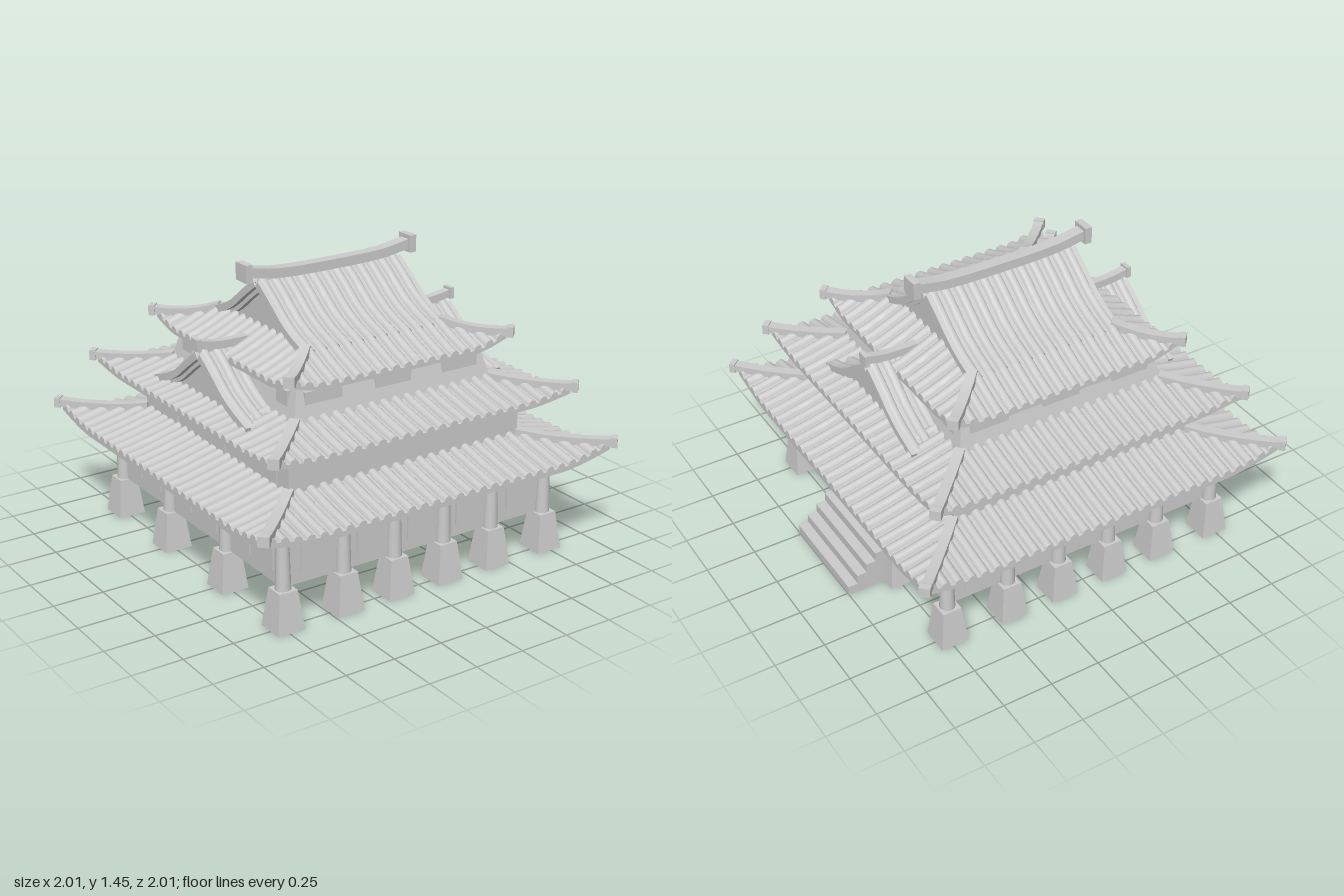
import * as THREE from 'three';
import { toCreasedNormals } from 'three/addons/utils/BufferGeometryUtils.js';

const solid = new THREE.MeshStandardMaterial({ color: 0xcccccc });
const thin = new THREE.MeshStandardMaterial({ color: 0xcccccc, side: THREE.DoubleSide });
const PITCH = 0.0667, TILE = 0.022;

function add(parent, name, geometry, material = solid, x = 0, y = 0, z = 0) {
  const mesh = new THREE.Mesh(geometry, material);
  mesh.name = name;
  mesh.position.set(x, y, z);
  parent.add(mesh);
  return mesh;
}

// box given by its minimum and maximum corners
function box(parent, name, a, b) {
  const g = new THREE.BoxGeometry(b[0] - a[0], b[1] - a[1], b[2] - a[2]);
  return add(parent, name, g, solid, (a[0] + b[0]) / 2, (a[1] + b[1]) / 2, (a[2] + b[2]) / 2);
}

// square tapered block
function block(bottom, top, height) {
  const g = new THREE.BoxGeometry(2, height, 2), p = g.attributes.position;
  for (let i = 0; i < p.count; i++) {
    const r = p.getY(i) > 0 ? top : bottom;
    p.setXYZ(i, p.getX(i) * r, p.getY(i) + height / 2, p.getZ(i) * r);
  }
  g.computeVertexNormals();
  return g;
}

function indexed(pos, index, crease) {
  const g = new THREE.BufferGeometry();
  g.setAttribute('position', new THREE.Float32BufferAttribute(pos, 3));
  g.setIndex(index);
  return toCreasedNormals(g, crease);
}

// surface over a list of columns; fn(column, row) returns [x, y, z]
function grid(cols, rows, fn) {
  const pos = [], index = [];
  cols.forEach((c, i) => {
    for (let j = 0; j <= rows; j++) {
      pos.push(...fn(c, j));
      if (i && j) {
        const k = i * (rows + 1) + j, l = k - rows - 1;
        index.push(l - 1, k - 1, k, l - 1, k, l);
      }
    }
  });
  return indexed(pos, index, 0.75);
}

// columns across a row of round tiles: position s and height h
function tileColumns(half) {
  const n = Math.round(2 * half / PITCH), w = 2 * half / n, cols = [];
  for (let i = 0; i < n; i++) {
    for (const t of [0, 0.15, 0.22, 0.33, 0.5, 0.67, 0.78, 0.85]) {
      const q = (t - 0.5) / 0.35;
      cols.push({ s: -half + (i + t) * w, h: TILE * Math.sqrt(Math.max(0, 1 - q * q)) });
    }
  }
  cols.push({ s: half, h: 0 });
  return cols;
}

// rectangular beam swept along points, standing on the path
function beam(points, width, height, n = 12) {
  const curve = new THREE.CatmullRomCurve3(points.map(p => new THREE.Vector3(...p)));
  const pos = [], index = [];
  for (let i = 0; i <= n; i++) {
    const p = curve.getPoint(i / n), t = curve.getTangent(i / n);
    const side = new THREE.Vector3(-t.z, 0, t.x).normalize();
    const up = new THREE.Vector3().crossVectors(side, t).normalize();
    for (const [a, b] of [[-0.5, 0], [0.5, 0], [0.5, 1], [-0.5, 1]]) {
      const v = p.clone().addScaledVector(side, a * width).addScaledVector(up, b * height);
      pos.push(v.x, v.y, v.z);
    }
    for (let k = 0; i && k < 4; k++) {
      const a = i * 4 - 4 + k, b = i * 4 - 4 + (k + 1) % 4;
      index.push(a, b + 4, b, a, a + 4, b + 4);
    }
  }
  const e = n * 4;
  index.push(0, 1, 2, 0, 2, 3, e, e + 2, e + 1, e, e + 3, e + 2);
  return indexed(pos, index, 0.6);
}

// four-sided tiled skirt roof with upturned corners
function hipRoof(parent, name, { eave, inner, low, high, soffit, lift }) {
  const roof = new THREE.Group();
  roof.name = name;
  parent.add(roof);
  const rise = s => lift * Math.pow(Math.max(0, (Math.abs(s) / eave - 0.7) / 0.3), 1.5);
  const height = d => low + (high - low) * Math.pow(Math.max(0, (eave - d) / (eave - inner)), 1.15);
  const rows = 6, cols = tileColumns(eave);
  const depth = (s, v) => THREE.MathUtils.lerp(eave, Math.max(inner, Math.abs(s)), v);
  const tiles = grid(cols, rows + 1, ({ s, h }, j) => {
    if (j === 0) return [s, soffit + rise(s), eave];
    const d = depth(s, (j - 1) / rows);
    return [s, height(d) + rise(s) + h, d];
  });
  const under = grid(cols, 2, ({ s }, j) => [s, soffit + rise(s), depth(s, 1 - j / 2)]);
  const path = [0, 0.25, 0.5, 0.75, 1].map(v => {
    const d = THREE.MathUtils.lerp(inner, eave, v);
    return [d, height(d) + rise(d) - 0.008 + 0.01 * v, d];
  });
  const tip = eave + 0.014;
  path.push([tip, height(eave) + lift + 0.006, tip]);
  const ridge = beam(path, 0.048, 0.036);
  for (let k = 0; k < 4; k++) {
    const side = new THREE.Group();
    side.name = 'roofSide';
    side.rotation.y = k * Math.PI / 2;
    roof.add(side);
    add(side, 'roofTiles', tiles, thin);
    add(side, 'soffit', under, thin);
    add(side, 'cornerRidge', ridge);
    add(side, 'ridgeTip', new THREE.BoxGeometry(0.052, 0.05, 0.03), solid,
      tip, height(eave) + lift + 0.02, tip).rotation.y = Math.PI / 4;
  }
}

// gabled roof running along x; profile lists [z, y] from ridge to eave
function gableRoof(parent, name, half, profile, inset, ends) {
  const roof = new THREE.Group();
  roof.name = name;
  parent.add(roof);
  const curve = new THREE.SplineCurve(profile.map(p => new THREE.Vector2(...p)));
  const slope = grid(tileColumns(half), 12, ({ s, h }, j) => {
    const p = curve.getPoint(1 - j / 12);
    return [s, p.y + h, p.x];
  });
  for (const turn of [0, Math.PI]) add(roof, 'roofSlope', slope, thin).rotation.y = turn;
  const right = curve.getPoints(12), base = profile[profile.length - 1][1] - 0.03;
  const wall = new THREE.Shape([...right.slice().reverse(), ...right.slice(1).map(p => new THREE.Vector2(-p.x, p.y)),
    new THREE.Vector2(-right[12].x, base), new THREE.Vector2(right[12].x, base)]);
  for (const e of ends) {
    const g = new THREE.ShapeGeometry(wall).rotateY(Math.PI / 2);
    add(roof, 'gableWall', g, thin, e * (half - inset));
    for (const m of [1, -1]) {
      const line = (x, drop) => right.map(p => [x, p.y - drop, m * p.x]);
      add(roof, 'bargeboard', beam(line(e * (half - 0.008), 0.022), 0.026, 0.035));
      add(roof, 'innerBargeboard', beam(line(e * (half - inset + 0.01), 0.045), 0.03, 0.03));
    }
  }
  return roof;
}

// raised window panels on one face; turn counts quarter turns from the front
function windows(parent, turn, dist, y, w, h, list) {
  const face = new THREE.Group();
  face.name = 'windowRow';
  face.rotation.y = turn * Math.PI / 2;
  parent.add(face);
  for (const s of list) add(face, 'window', new THREE.BoxGeometry(w, h, 0.02), solid, s, y, dist);
}

export function createModel() {
  const model = new THREE.Group();
  model.name = 'pavilion';

  // stone feet and tapered columns
  const foot = block(0.07, 0.047, 0.19);
  const column = new THREE.CylinderGeometry(0.027, 0.037, 0.31, 16);
  const xs = [-0.74, -0.42, -0.14, 0.14, 0.42, 0.74], zs = [-0.745, -0.265, 0.265, 0.745];
  for (const x of xs) for (const z of zs) {
    add(model, 'columnFoot', foot, solid, x, 0, z);
    if (Math.abs(x) > 0.7 || Math.abs(z) > 0.7) add(model, 'column', column, solid, x, 0.345, z);
  }

  // ground storey with a shallow entrance recess on +x
  box(model, 'groundStorey', [-0.74, 0.19, -0.74], [0.7, 0.5, 0.74]);
  for (const m of [1, -1]) {
    const wing = box(model, 'entranceWing', [0.7, 0.19, 0.265], [0.74, 0.5, 0.74]);
    wing.position.z *= m;
  }
  const sides = [-0.61, -0.415, 0.415, 0.61];
  for (const k of [0, 2]) windows(model, k, 0.74, 0.34, 0.13, 0.18, [-0.58, -0.28, 0, 0.28, 0.58]);
  windows(model, 1, 0.74, 0.34, 0.13, 0.18, sides);
  windows(model, 3, 0.74, 0.34, 0.13, 0.18, [...sides, -0.12, 0.12]);
  windows(model, 1, 0.7, 0.34, 0.115, 0.28, [-0.19, -0.065, 0.065, 0.19]);

  // entrance steps
  for (let i = 0; i < 4; i++) {
    box(model, 'step', [0.7, 0.0475 * i, -0.262], [1 - 0.05 * i, 0.0475 * (i + 1), 0.262]);
  }

  // upper storeys
  box(model, 'middleStorey', [-0.645, 0.48, -0.65], [0.645, 0.79, 0.65]);
  for (const k of [1, 3]) windows(model, k, 0.645, 0.67, 0.23, 0.14, [-0.445, 0, 0.445]);
  add(model, 'topStorey', block(0.57, 0.505, 0.25), solid, 0, 0.78, 0);
  for (const k of [0, 2]) windows(model, k, 0.522, 0.93, 0.2, 0.11, [-0.38, 0, 0.38]);
  for (const k of [1, 3]) windows(model, k, 0.526, 0.93, 0.09, 0.11, [-0.425, 0.425]);

  // three tiers of skirt roof
  hipRoof(model, 'lowerRoof', { eave: 0.96, inner: 0.64, low: 0.505, high: 0.58, soffit: 0.482, lift: 0.048 });
  hipRoof(model, 'middleRoof', { eave: 0.82, inner: 0.54, low: 0.79, high: 0.855, soffit: 0.772, lift: 0.028 });
  hipRoof(model, 'upperRoof', { eave: 0.6, inner: 0.37, low: 1.025, high: 1.122, soffit: 1.008, lift: 0.045 });

  // main gable roof and its ridge
  gableRoof(model, 'mainGable', 0.4, [[0, 1.345], [0.1, 1.275], [0.2, 1.2], [0.3, 1.147], [0.41, 1.108]], 0.05, [1, -1]);
  add(model, 'mainRidge', beam([[-0.46, 1.38, 0], [-0.3, 1.354, 0], [0, 1.347, 0], [0.3, 1.354, 0], [0.46, 1.38, 0]], 0.06, 0.047));
  for (const m of [1, -1]) {
    box(model, 'ridgeEnd', [m * 0.462 - 0.018, 1.36, -0.045], [m * 0.462 + 0.018, 1.445, 0.045]);
  }

  // gabled dormers on both ends
  for (const m of [1, -1]) {
    const dormer = gableRoof(model, 'dormer', 0.1, [[0, 1.055], [0.1, 0.985], [0.2, 0.91], [0.3, 0.86], [0.41, 0.82]], 0.045, [1]);
    dormer.position.x = m * 0.615;
    dormer.rotation.y = m > 0 ? 0 : Math.PI;
    add(dormer, 'dormerRidge', beam([[-0.16, 1.065, 0], [0, 1.068, 0], [0.11, 1.085, 0]], 0.04, 0.038));
    box(dormer, 'dormerRidgeEnd', [0.095, 1.075, -0.028], [0.118, 1.132, 0.028]);
  }
  return model;
}
